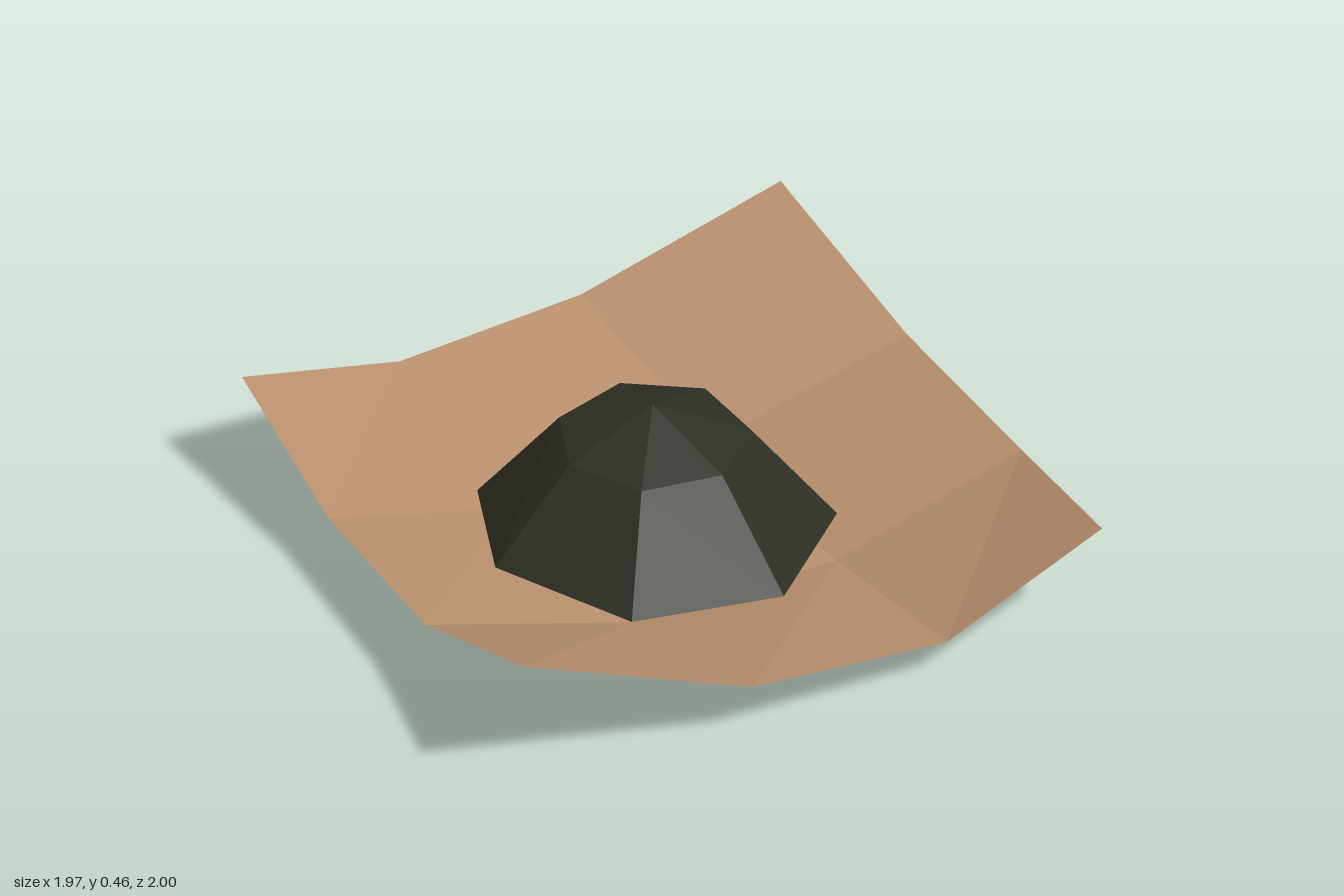
import * as THREE from 'three';

export function createModel() {
  const group = new THREE.Group();
  const tan = new THREE.MeshStandardMaterial({ color: 0xb88f6d, flatShading: true, side: THREE.DoubleSide });
  tan.name = 'tan wrapper';
  const dark = new THREE.MeshStandardMaterial({ color: 0x2d2e23, flatShading: true, side: THREE.DoubleSide });
  dark.name = 'dark filling';

  // Curled sheet: a 4 x 4 grid, back row first, each row from -x to +x
  const rows = [
    [[-0.8, 0.335, -0.905], [-0.23, 0.13, -0.99], [0.37, 0.13, -1], [0.98, 0.33, -0.93]],
    [[-0.85, 0.185, -0.375], [-0.25, 0.003, -0.37], [0.39, 0, -0.355], [0.985, 0.19, -0.28]],
    [[-0.925, 0.217, 0.25], [-0.265, 0, 0.275], [0.37, 0.008, 0.33], [0.945, 0.2, 0.38]],
    [[-0.985, 0.455, 0.865], [-0.29, 0.18, 0.945], [0.33, 0.12, 0.97], [0.82, 0.34, 1]],
  ];
  const sheetGeo = new THREE.PlaneGeometry(2, 2, 3, 3);
  rows.flat().forEach((p, i) => sheetGeo.attributes.position.setXYZ(i, ...p));
  sheetGeo.computeVertexNormals();
  const sheet = new THREE.Mesh(sheetGeo, tan);
  sheet.name = 'sheet';
  group.add(sheet);

  // Seven-sided mound whose rim follows the sheet
  const profile = [[0.515, 0.055], [0.274, 0.355], [0, 0.46]].map(([r, y]) => new THREE.Vector2(r, y));
  const moundGeo = new THREE.LatheGeometry(profile, 7, -Math.PI / 2);
  const rim = [0.1, 0.08, 0.065, 0.055, 0.055, 0.052, 0.055, 0.1];
  rim.forEach((y, i) => moundGeo.attributes.position.setY(i * profile.length, y));
  moundGeo.computeVertexNormals();
  const mound = new THREE.Mesh(moundGeo, dark);
  mound.name = 'mound';
  mound.position.set(-0.005, 0, -0.03);
  group.add(mound);

  return group;
}
